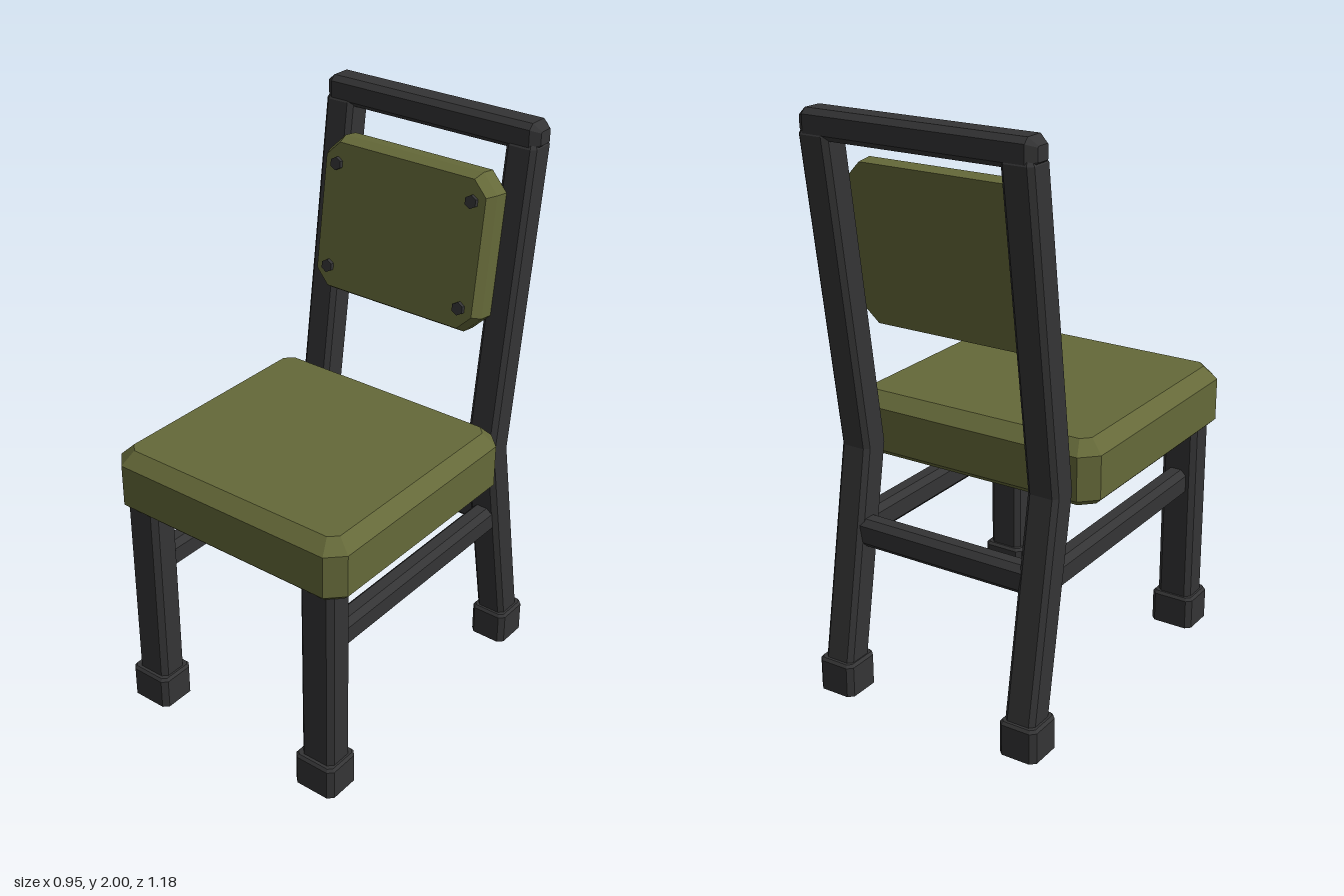
import * as THREE from 'three';

const olive = new THREE.MeshStandardMaterial({ color: 0x656939 });
olive.name = 'olive';
const charcoal = new THREE.MeshStandardMaterial({ color: 0x343435 });
charcoal.name = 'charcoal';

// Rectangle with cut corners, lofted upward through levels of [y, inset, zShift]
function chamferedLoft(w, d, cut, levels) {
  const pos = [], index = [], n = 8;
  for (const [y, inset = 0, shift = 0] of levels) {
    const a = w / 2 - inset, b = d / 2 - inset;
    const c = Math.max(cut - inset * 0.586, 0.002);
    const ring = [[a, b - c], [a, c - b], [a - c, -b], [c - a, -b],
      [-a, c - b], [-a, b - c], [c - a, b], [a - c, b]];
    for (const [x, z] of ring) pos.push(x, y, z + shift);
  }
  const last = (levels.length - 1) * n;
  for (let k = 0; k < last; k += n) {
    for (let i = 0; i < n; i++) {
      const j = (i + 1) % n;
      index.push(k + i, k + j, k + n + j, k + i, k + n + j, k + n + i);
    }
  }
  for (let i = 1; i < n - 1; i++) {
    index.push(0, i + 1, i, last, last + i, last + i + 1);
  }
  const indexed = new THREE.BufferGeometry();
  indexed.setAttribute('position', new THREE.Float32BufferAttribute(pos, 3));
  indexed.setIndex(index);
  const geo = indexed.toNonIndexed();
  geo.computeVertexNormals();
  return geo;
}

// Straight bar centred on its own origin, with bevelled ends
function bar(w, d, cut, length, end = 0) {
  const h = length / 2;
  return chamferedLoft(w, d, cut, end
    ? [[-h, end * 0.8], [-h + end, 0], [h - end, 0], [h, end * 0.8]]
    : [[-h], [h]]);
}

export function createModel() {
  const chair = new THREE.Group();
  chair.name = 'chair';
  const add = (name, geo, mat, x = 0, y = 0, z = 0, parent = chair) => {
    const mesh = new THREE.Mesh(geo, mat);
    mesh.name = name;
    mesh.position.set(x, y, z);
    parent.add(mesh);
    return mesh;
  };

  // Seat cushion
  add('seat', chamferedLoft(0.95, 0.915, 0.055,
    [[0.79, 0.02], [0.81], [0.96], [1.005, 0.045]]), olive, 0, 0, 0.135);

  // Legs, feet and side stretchers, mirrored left and right
  const frontLeg = chamferedLoft(0.13, 0.108, 0.018, [[0.05], [0.8]]);
  const rearLeg = chamferedLoft(0.112, 0.108, 0.016,
    [[0.05, 0, -0.532], [0.86, 0, -0.388], [1.92, 0, -0.535], [1.94, 0.012, -0.537]]);
  const frontFoot = chamferedLoft(0.16, 0.142, 0.018, [[0], [0.11], [0.12, 0.008]]);
  const rearFoot = chamferedLoft(0.14, 0.142, 0.018, [[0], [0.11], [0.12, 0.008]]);
  const sideBar = bar(0.08, 0.1, 0.02, 0.9);
  for (const [side, s] of [['left', 1], ['right', -1]]) {
    add(side + 'FrontLeg', frontLeg, charcoal, s * 0.37, 0, 0.518);
    add(side + 'FrontFoot', frontFoot, charcoal, s * 0.37, 0, 0.52);
    add(side + 'RearLeg', rearLeg, charcoal, s * 0.364, 0, 0);
    add(side + 'RearFoot', rearFoot, charcoal, s * 0.366, 0, -0.52);
    add(side + 'Stretcher', sideBar, charcoal, s * 0.365, 0.57, 0.03).rotation.x = Math.PI / 2;
  }

  // Cross bars between the rear legs
  add('rearStretcher', bar(0.1, 0.08, 0.02, 0.64), charcoal, 0, 0.57, -0.443).rotation.z = Math.PI / 2;
  add('topRail', bar(0.095, 0.102, 0.018, 0.85, 0.03), charcoal, 0, 1.953, -0.536).rotation.z = Math.PI / 2;

  // Tilted backrest pad with four hexagonal bolts
  const back = new THREE.Group();
  back.name = 'backrest';
  back.position.set(0, 1.567, -0.386);
  back.rotation.x = -0.139;
  chair.add(back);
  add('backPad', chamferedLoft(0.68, 0.543, 0.062,
    [[-0.046], [0.008], [0.046, 0.018]]), olive, 0, 0, 0, back).rotation.x = Math.PI / 2;
  const bolt = new THREE.CylinderGeometry(0.023, 0.023, 0.024, 6).toNonIndexed();
  bolt.computeVertexNormals();
  for (const x of [-0.273, 0.273]) {
    for (const y of [-0.181, 0.181]) {
      add('bolt', bolt, charcoal, x, y, 0.048, back).rotation.x = Math.PI / 2;
    }
  }
  return chair;
}
